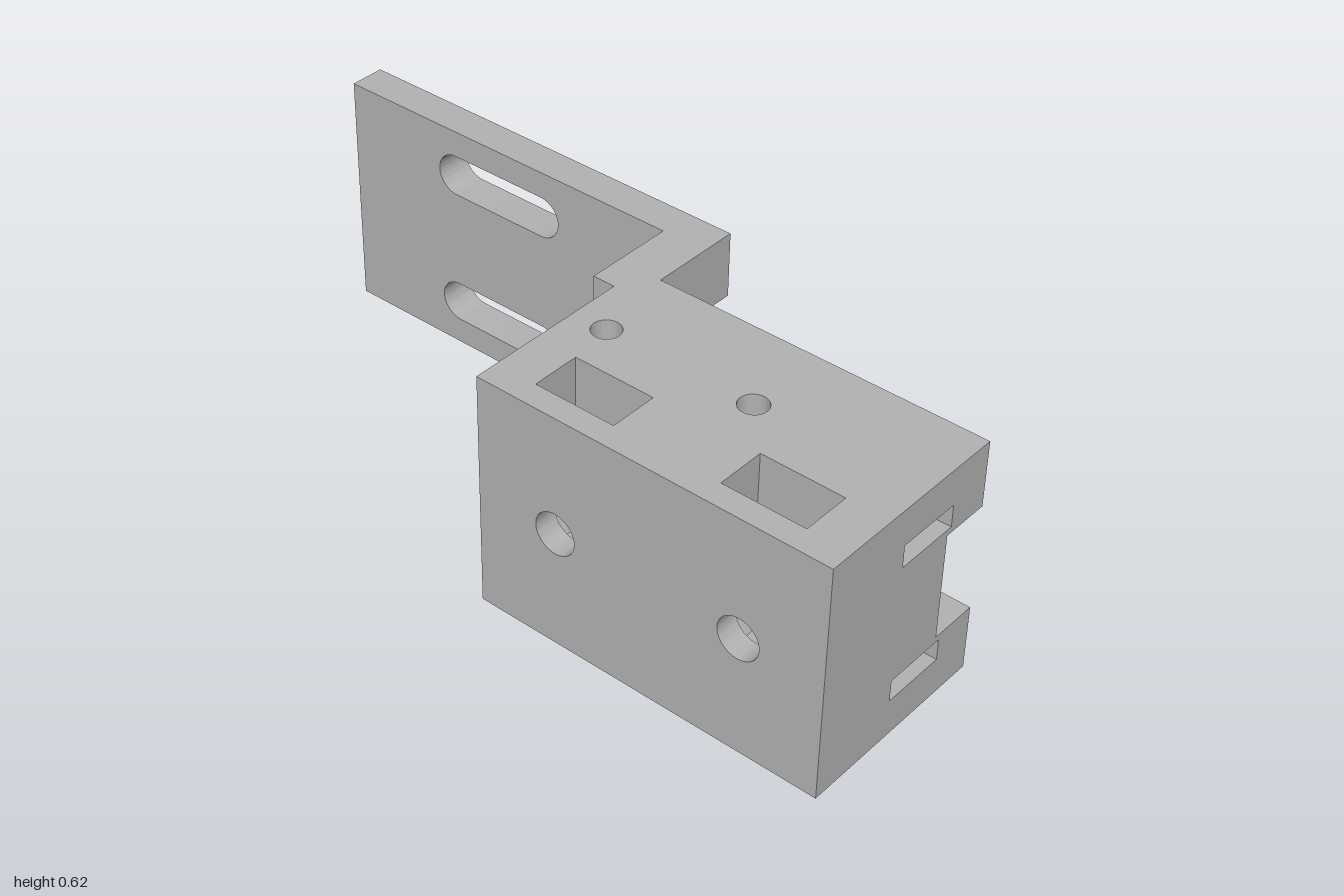
import * as THREE from 'three';
import { toCreasedNormals } from 'three/addons/utils/BufferGeometryUtils.js';

const H = 0.625;                         // overall height
const MID = H / 2;
const WIN = [0.172, 0.453];              // channel and window, bottom and top
const BOLTS = [0.28, 0.78];              // front bolt holes
const PINS = [0.155, 0.56];              // vertical screw holes
const PIN_Z = 0.08;
const SPLIT = 0.143;                     // front wall of the belt slots

const polygon = (pts) => new THREE.Shape(pts.map(([x, y]) => new THREE.Vector2(x, y)));

function circle(x, y, r) {
  const p = new THREE.Path();
  p.absarc(x, y, r, 0, Math.PI * 2, true);
  return p;
}

function hexagon(x, y, r) {
  const pts = [];
  for (let i = 0; i < 6; i++) {
    const a = Math.PI / 6 - (i * Math.PI) / 3;
    pts.push(new THREE.Vector2(x + r * Math.cos(a), y + r * Math.sin(a)));
  }
  return new THREE.Path(pts);
}

function roundedSlot(x0, x1, y, r) {
  const p = new THREE.Path();
  p.absarc(x0 + r, y, r, -Math.PI / 2, Math.PI / 2, true);
  p.absarc(x1 - r, y, r, Math.PI / 2, -Math.PI / 2, true);
  p.closePath();
  return p;
}

export function createModel() {
  const group = new THREE.Group();
  const grey = new THREE.MeshStandardMaterial({ color: 0xb2b2b2 });
  grey.name = 'grey';

  const extrude = (shape, depth) =>
    new THREE.ExtrudeGeometry(shape, { depth, bevelEnabled: false, curveSegments: 20 });

  function add(name, geometry) {
    const mesh = new THREE.Mesh(toCreasedNormals(geometry, 0.5), grey);
    mesh.name = name;
    group.add(mesh);
  }

  // Slab drawn in x, y and running from z0 to z1
  const slabZ = (name, shape, z0, z1) => add(name, extrude(shape, z1 - z0).translate(0, 0, z0));

  // Layer drawn in x, -z and running from y0 to y1
  const layerY = (name, shape, y0, y1) =>
    add(name, extrude(shape, y1 - y0).rotateX(-Math.PI / 2).translate(0, y0, 0));

  // Mounting plate with two long slots and the open side of the window
  const plate = polygon([
    [-1, 0], [0, 0], [0, WIN[0]], [-0.125, WIN[0]],
    [-0.125, WIN[1]], [0, WIN[1]], [0, H], [-1, H],
  ]);
  for (const y of [0.125, 0.5]) plate.holes.push(roundedSlot(-0.71, -0.322, y, 0.055));
  slabZ('mountingPlate', plate, -0.39, -0.297);

  // Rear half of the block with the connecting web, in horizontal layers
  const fullLayer = (hole, r) => {
    const s = polygon([
      [0, 0.39], [0, 0.055], [0.06, 0.055], [0.06, -SPLIT],
      [1, -SPLIT], [1, 0.142], [0.122, 0.142], [0.122, 0.39],
    ]);
    for (const x of PINS) s.holes.push(hole(x, -PIN_Z, r));
    return s;
  };
  // Behind a belt slot only the back wall remains
  const slotLayer = () => polygon([
    [0, 0.39], [0, 0.055], [0.06, 0.055], [0.06, 0.027],
    [1, 0.027], [1, 0.142], [0.122, 0.142], [0.122, 0.39],
  ]);
  // Between the flanges the channel cuts away the back
  const core = polygon([[0.06, 0.015], [0.06, -SPLIT], [1, -SPLIT], [1, 0.015]]);
  for (const x of PINS) core.holes.push(circle(x, -PIN_Z, 0.036));

  layerY('lowerFlange', fullLayer(hexagon, 0.073), 0, 0.1);
  layerY('lowerSlotWall', slotLayer(), 0.1, 0.157);
  layerY('lowerChannelLip', fullLayer(circle, 0.036), 0.157, WIN[0]);
  layerY('channelCore', core, WIN[0], WIN[1]);
  layerY('upperChannelLip', fullLayer(circle, 0.036), WIN[1], 0.469);
  layerY('upperSlotWall', slotLayer(), 0.469, 0.527);
  layerY('upperFlange', fullLayer(circle, 0.036), 0.527, H);

  // Front half of the block, in upright slabs
  const front = () => polygon([[0.06, 0], [1, 0], [1, H], [0.06, H]]);
  slabZ('blockWall', front(), SPLIT, 0.2);

  // Nut pockets open at the top and end in half a hexagon
  const R = 0.108;
  const outline = [[0.06, 0], [1, 0], [1, H]];
  for (const x of [...BOLTS].reverse()) {
    const low = MID - R * Math.sin(Math.PI / 3);
    outline.push([x + R, H], [x + R, MID], [x + R / 2, low],
      [x - R / 2, low], [x - R, MID], [x - R, H]);
  }
  outline.push([0.06, H]);
  slabZ('nutPocketSlab', polygon(outline), 0.2, 0.327);

  // Front face with the bolt holes
  const face = front();
  for (const x of BOLTS) face.holes.push(circle(x, MID, 0.055));
  slabZ('frontFace', face, 0.327, 0.39);

  return group;
}
